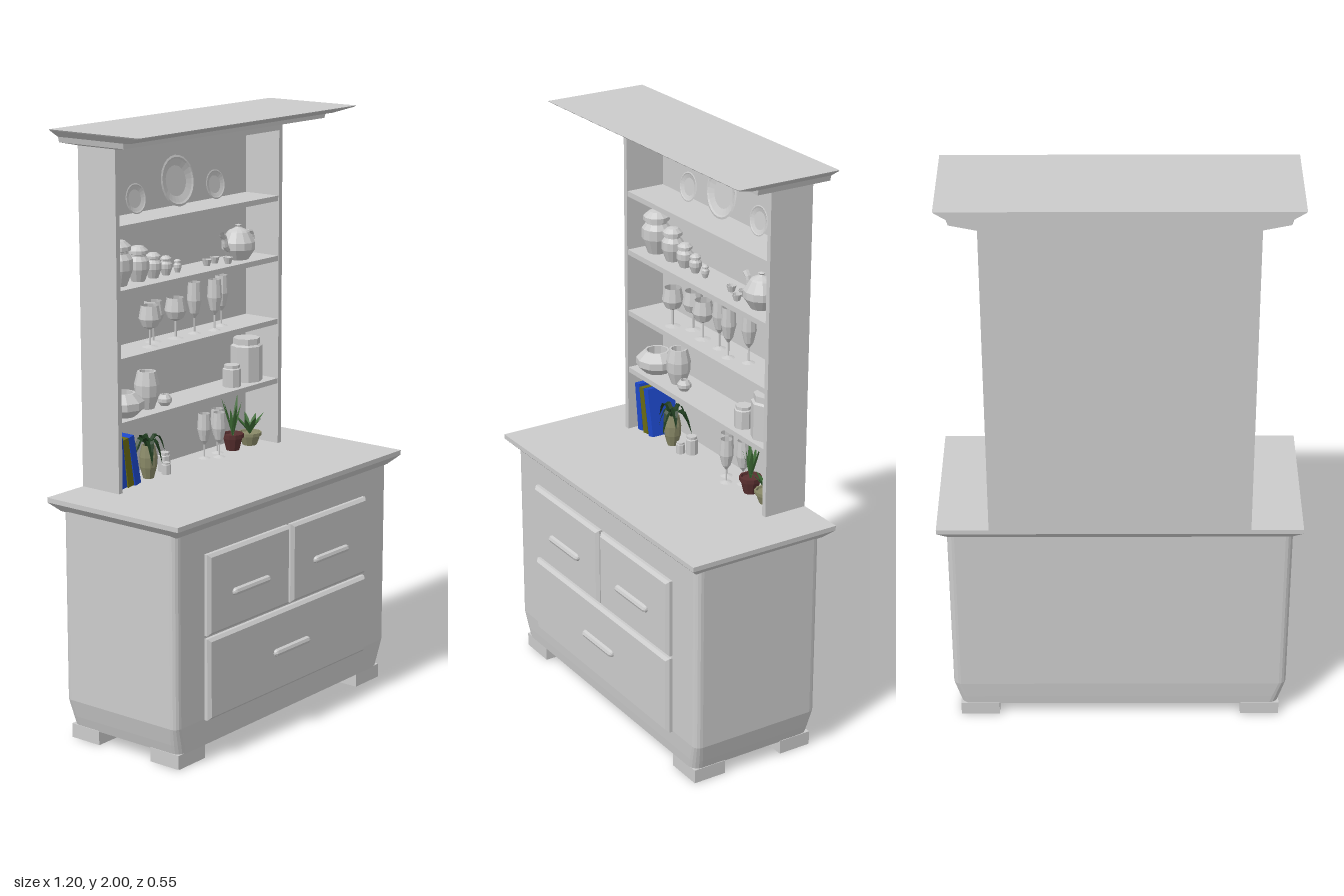
import * as THREE from 'three';

const mat = (color = 0xcccccc) =>
  new THREE.MeshStandardMaterial({ color, flatShading: true, side: THREE.DoubleSide });
const GREY = mat(), BLUE = mat(0x1c47c8), OLIVE = mat(0x6b6b12), TAN = mat(0x8a8a68),
  RED = mat(0x5a3030), DARK = mat(0x1d3a1d), GREEN = mat(0x3d6b35);
const V2 = (p) => new THREE.Vector2(p[0], p[1]);

function add(parent, name, geo, material = GREY, x = 0, y = 0, z = 0) {
  const m = new THREE.Mesh(geo, material);
  m.name = name;
  m.position.set(x, y, z);
  parent.add(m);
  return m;
}

// Box given by its limits
function slab(parent, name, x0, x1, y0, y1, z0, z1) {
  return add(parent, name, new THREE.BoxGeometry(x1 - x0, y1 - y0, z1 - z0), GREY,
    (x0 + x1) / 2, (y0 + y1) / 2, (z0 + z1) / 2);
}

// Solid through stacked rectangles [y, halfWidth, zBack, zFront, cornerRadius]
function loft(sections, k = 1) {
  const pos = [], idx = [], n = 4 * (k + 1);
  for (const [y, w, zb, zf, r] of sections) {
    const corners = [[w - r, zf - r], [r - w, zf - r], [r - w, zb + r], [w - r, zb + r]];
    corners.forEach(([cx, cz], c) => {
      for (let i = 0; i <= k; i++) {
        const a = (c + i / k) * Math.PI / 2;
        pos.push(cx + r * Math.cos(a), y, cz + r * Math.sin(a));
      }
    });
  }
  const top = (sections.length - 1) * n;
  for (let j = 0; j < n; j++) {
    const j2 = (j + 1) % n;
    for (let s = 0; s < top; s += n) idx.push(s + j, s + n + j, s + n + j2, s + j, s + n + j2, s + j2);
    if (j > 0 && j2 > 0) idx.push(0, j, j2, top, top + j2, top + j);
  }
  const g = new THREE.BufferGeometry();
  g.setAttribute('position', new THREE.Float32BufferAttribute(pos, 3));
  g.setIndex(idx);
  g.computeVertexNormals();
  return g;
}

// Turned object: profile as fractions of radius and height
function turned(parent, name, profile, x, y, z, r, h, sides = 10, material = GREY) {
  const g = new THREE.LatheGeometry(profile.map(V2), sides);
  g.scale(r, h, r);
  return add(parent, name, g, material, x, y, z);
}

const JAR = [[0, 0], [0.6, 0], [1, 0.35], [1, 0.58], [0.72, 0.7], [0.72, 0.75], [0.9, 0.77], [0.9, 0.86], [0.5, 0.97], [0, 1]];
const WINE = [[0.75, 0], [0.1, 0.04], [0.1, 0.42], [0.7, 0.5], [1, 0.68], [0.78, 1]];
const FLUTE = [[0.9, 0], [0.12, 0.04], [0.12, 0.3], [0.6, 0.4], [1, 0.65], [0.85, 1]];
const CUP = [[0, 0], [0.6, 0], [1, 1], [0.85, 1], [0.5, 0.15], [0, 0.15]];
const VASE = [[0, 0], [0.6, 0], [0.95, 0.35], [1, 0.65], [0.75, 1], [0.6, 1], [0.6, 0.5], [0, 0.4]];
const BOWL = [[0, 0], [0.6, 0], [1, 0.35], [1, 0.65], [0.6, 1], [0.5, 1], [0.5, 0.4], [0, 0.4]];
const CANISTER = [[0, 0], [1, 0], [1, 0.82], [0.85, 0.86], [0.85, 1], [0, 1]];
const POT = [[0, 0], [0.6, 0], [0.88, 0.75], [1, 0.75], [1, 1], [0.85, 1], [0.8, 0.85], [0, 0.85]];

// Tapered leaf that rises, reaches outward and droops
function leaf(parent, angle, reach, rise, droop, width, material) {
  const g = new THREE.PlaneGeometry(1, 1, 2, 5), p = g.attributes.position;
  for (let i = 0; i < p.count; i++) {
    const t = p.getY(i) + 0.5, s = p.getX(i);
    const w = width * Math.sin(Math.PI * (0.15 + 0.84 * t));
    p.setXYZ(i, s * w, rise * t - droop * t * t + Math.abs(s) * w * 0.4, reach * t);
  }
  g.computeVertexNormals();
  const m = add(parent, 'leaf', g, material);
  m.rotation.y = angle;
}

function plant(parent, name, x, y, z, r, h, potMaterial, leafMaterial, leaves, potProfile = POT) {
  const g = new THREE.Group();
  g.name = name;
  g.position.set(x, y, z);
  parent.add(g);
  turned(g, 'pot', potProfile, 0, 0, 0, r, h, 10, potMaterial);
  const crown = new THREE.Group();
  crown.name = 'leaves';
  crown.position.y = h * 0.85;
  g.add(crown);
  leaves.forEach(([a, reach, rise, droop, w]) => leaf(crown, a, reach, rise, droop, w, leafMaterial));
}

function drawer(parent, x0, x1, y0, y1, hx, hy) {
  const g = new THREE.Group();
  g.name = 'drawer';
  parent.add(g);
  const shape = new THREE.Shape([[x0, y0], [x1, y0], [x1, y1], [x0, y1]].map(V2));
  add(g, 'drawerFront', new THREE.ExtrudeGeometry(shape, {
    depth: 0.015, bevelThickness: 0.01, bevelSize: 0.01, bevelOffset: -0.01, bevelSegments: 1,
  }), GREY, 0, 0, 0.233);
  const bar = new THREE.CapsuleGeometry(0.013, 0.165, 3, 8);
  bar.rotateZ(Math.PI / 2);
  add(g, 'drawerHandle', bar, GREY, hx, hy, 0.26);
}

function teapot(parent, x, y, z) {
  const g = new THREE.Group();
  g.name = 'teapot';
  g.position.set(x, y, z);
  parent.add(g);
  turned(g, 'teapotBody', [[0, 0], [0.6, 0], [1, 0.3], [1, 0.5], [0.65, 0.78], [0.55, 0.82], [0.2, 0.9], [0.15, 0.93], [0.2, 0.97], [0, 1]],
    0, 0, 0, 0.058, 0.12, 12);
  const tube = (name, pts, r) => add(g, name, new THREE.TubeGeometry(
    new THREE.CatmullRomCurve3(pts.map(([a, b]) => new THREE.Vector3(a, b, 0))), 8, r, 6));
  tube('spout', [[-0.045, 0.035], [-0.068, 0.05], [-0.075, 0.08], [-0.09, 0.095]], 0.01);
  tube('teapotHandle', [[0.045, 0.085], [0.068, 0.088], [0.08, 0.065], [0.07, 0.038], [0.05, 0.03]], 0.006);
}

export function createModel() {
  const root = new THREE.Group();
  root.name = 'dresser';

  // Base cabinet
  const base = new THREE.Group();
  base.name = 'baseCabinet';
  root.add(base);
  add(base, 'cabinetBody', loft([[0.045, 0.545, -0.226, 0.228, 0.03], [0.08, 0.555, -0.23, 0.232, 0.03],
    [0.14, 0.57, -0.235, 0.237, 0.025], [0.79, 0.57, -0.235, 0.237, 0.025]], 4));
  add(base, 'countertop', loft([[0.775, 0.565, -0.245, 0.24, 0.001], [0.807, 0.6, -0.273, 0.273, 0.001],
    [0.823, 0.6, -0.273, 0.273, 0.001]]));
  for (const s of [-1, 1]) for (const z of [-0.228, 0.11]) {
    add(base, 'foot', new THREE.BoxGeometry(0.132, 0.048, 0.118), GREY, s * 0.482, 0.024, z + 0.059);
  }
  drawer(base, -0.428, -0.006, 0.42, 0.69, -0.217, 0.54);
  drawer(base, 0.006, 0.426, 0.42, 0.69, 0.215, 0.54);
  drawer(base, -0.428, 0.426, 0.135, 0.41, 0, 0.272);

  // Shelf unit
  const hutch = new THREE.Group();
  hutch.name = 'shelfUnit';
  root.add(hutch);
  slab(hutch, 'backPanel', -0.428, 0.428, 0.82, 1.94, -0.273, -0.26);
  slab(hutch, 'sidePanel', -0.428, -0.41, 0.82, 1.94, -0.262, -0.117);
  slab(hutch, 'sidePanel', 0.41, 0.428, 0.82, 1.94, -0.262, -0.117);
  slab(hutch, 'topPanel', -0.41, 0.41, 1.915, 1.94, -0.262, -0.117);
  const LEVELS = [1.055, 1.265, 1.485, 1.692];
  for (const y of LEVELS) slab(hutch, 'shelf', -0.41, 0.41, y - 0.018, y, -0.262, -0.12);
  add(hutch, 'cornice', loft([[1.935, 0.42, -0.273, -0.117, 0.001], [1.955, 0.515, -0.273, -0.005, 0.001],
    [1.973, 0.52, -0.273, -0.003, 0.001], [1.974, 0.522, -0.273, 0.025, 0.001], [1.996, 0.557, -0.273, 0.09, 0.001],
    [2, 0.56, -0.273, 0.095, 0.001]]));

  // Plates leaning on the back of the top shelf
  const Z = -0.19;
  for (const [x, r] of [[-0.204, 0.05], [0, 0.085], [0.204, 0.05]]) {
    const g = new THREE.LatheGeometry([[0, 0], [0.6, 0], [1, 0.16], [0.92, 0.18], [0.85, 0.14], [0.6, 0.06], [0, 0.06]].map(V2), 24);
    g.scale(r, r, r);
    add(hutch, 'plate', g, GREY, x, 1.694 + r, -0.235).rotation.x = Math.PI / 2 - 0.15;
  }

  // Jars, cups and teapot
  for (const [x, r, h] of [[-0.34, 0.05, 0.15], [-0.24, 0.037, 0.118], [-0.165, 0.028, 0.085], [-0.101, 0.021, 0.065], [-0.042, 0.013, 0.045]]) {
    turned(hutch, 'jar', JAR, x, LEVELS[2], Z, r, h, 12);
  }
  [[0.111, Z], [0.165, -0.2], [0.187, -0.16]].forEach(([x, z]) => turned(hutch, 'cup', CUP, x, LEVELS[2], z, 0.017, 0.022));
  teapot(hutch, 0.28, LEVELS[2], Z);

  // Glasses
  [[-0.207, -0.17], [-0.143, -0.21], [-0.053, Z]].forEach(([x, z]) => turned(hutch, 'wineGlass', WINE, x, LEVELS[1], z, 0.037, 0.138));
  [[0.045, Z], [0.127, -0.17], [0.2, -0.2]].forEach(([x, z]) => turned(hutch, 'flute', FLUTE, x, LEVELS[1], z, 0.025, 0.175));
  [[0.095, Z], [0.138, -0.16], [0.178, -0.2]].forEach(([x, z]) => turned(hutch, 'flute', FLUTE, x, 0.823, z, 0.024, 0.157));

  // Crockery on the lowest shelf
  turned(hutch, 'bowl', BOWL, -0.33, LEVELS[0], -0.185, 0.072, 0.078);
  turned(hutch, 'vase', VASE, -0.202, LEVELS[0], Z, 0.042, 0.125);
  turned(hutch, 'smallBowl', BOWL, -0.135, LEVELS[0], -0.17, 0.024, 0.038);
  turned(hutch, 'canister', CANISTER, 0.22, LEVELS[0], -0.17, 0.032, 0.075, 8);
  turned(hutch, 'canister', CANISTER, 0.326, LEVELS[0], Z, 0.055, 0.15, 8);
  turned(hutch, 'smallCup', CANISTER, -0.142, 0.823, -0.16, 0.016, 0.04, 8);
  turned(hutch, 'smallCup', CANISTER, -0.117, 0.823, -0.19, 0.021, 0.065, 8);

  // Leaning books
  [[-0.372, BLUE, 0.17], [-0.338, OLIVE, 0.165], [-0.303, BLUE, 0.17]].forEach(([x, m, h], i) => {
    const g = new THREE.BoxGeometry(0.028, h, 0.105);
    g.translate(0, h / 2, 0);
    add(hutch, 'book', g, m, x, 0.826, -0.195).rotation.z = 0.12 + i * 0.04;
  });

  // Potted plants: leaves as [angle, reach, rise, droop, width]
  const ring = (n, f) => Array.from({ length: n }, (_, i) => f(i * Math.PI * 2 / n + 0.3, i));
  plant(hutch, 'droopingPlant', -0.215, 0.823, -0.175, 0.03, 0.112, TAN, DARK,
    ring(7, (a, i) => [a, 0.05 + 0.012 * (i % 3), 0.16 + 0.03 * (i % 2), 0.2, 0.028]), VASE);
  plant(hutch, 'spikyPlant', 0.244, 0.823, -0.185, 0.038, 0.058, RED, GREEN,
    ring(8, (a, i) => [a, 0.02 + 0.012 * (i % 3), 0.09 + 0.025 * (i % 3), 0, 0.014]));
  plant(hutch, 'spreadingPlant', 0.338, 0.823, -0.185, 0.042, 0.045, TAN, GREEN,
    ring(8, (a, i) => [a, 0.045 + 0.008 * (i % 3), 0.07 + 0.01 * (i % 2), 0.01, 0.018]));

  return root;
}
